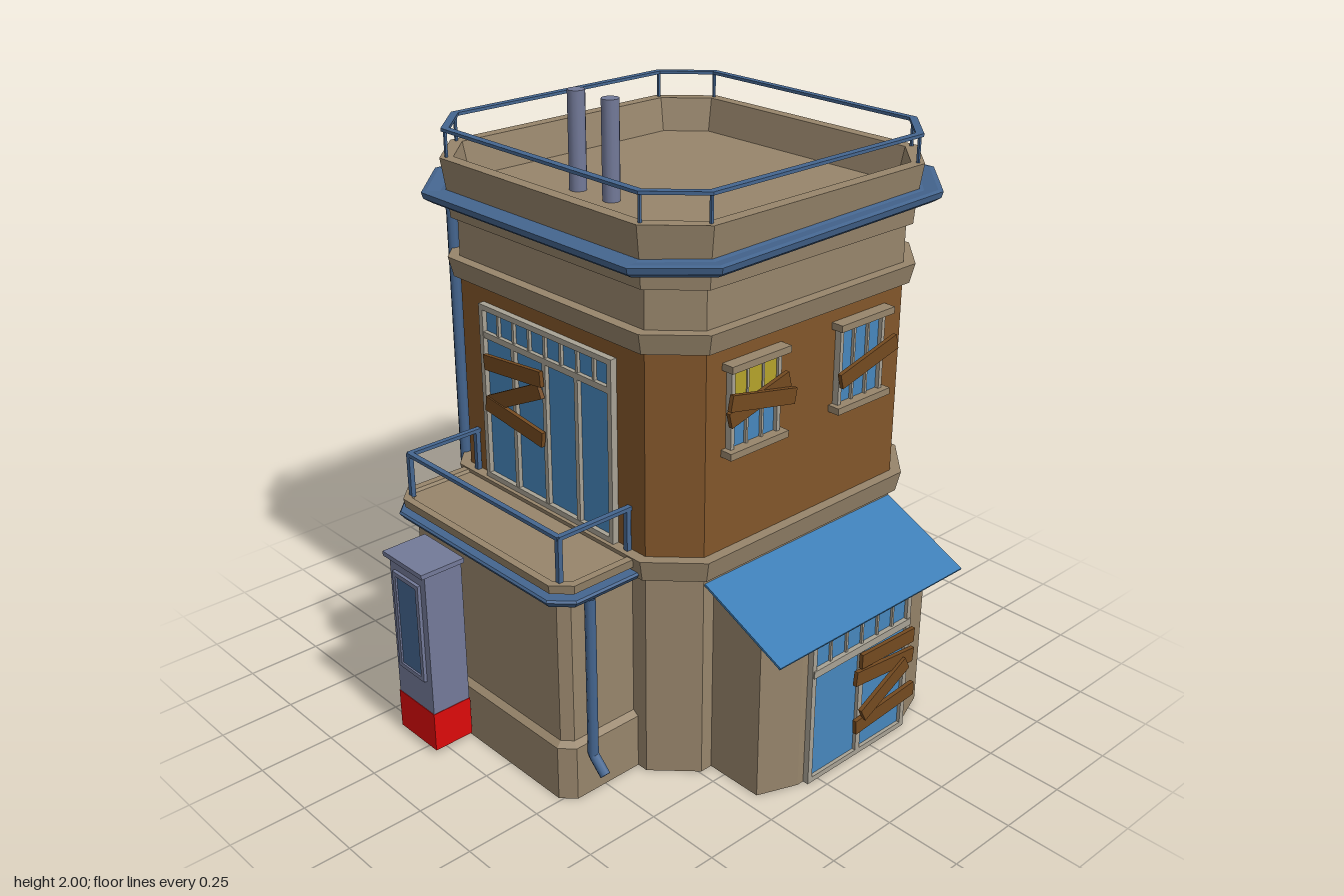
import * as THREE from 'three';

const mat = (name, color) => new THREE.MeshStandardMaterial({ name, color, side: THREE.DoubleSide });
const M = {
  stone: mat('tan stone', 0x97856b),
  wall: mat('brown wall', 0x82562a),
  wood: mat('dark wood', 0x744a20),
  glass: mat('blue glass', 0x4787bd),
  awning: mat('awning blue', 0x3b7db5),
  steel: mat('pipe blue', 0x456690),
  grey: mat('grey metal', 0x737a99),
  red: mat('red', 0xdc0a0a),
  blind: mat('yellow blind', 0xb5a32b),
  frame: mat('light frame', 0xa8a294),
};

function add(parent, name, geometry, material) {
  const m = new THREE.Mesh(geometry, material);
  m.name = name;
  parent.add(m);
  return m;
}

function box(parent, name, material, w, h, d, x, y, z, rz = 0) {
  const m = add(parent, name, new THREE.BoxGeometry(w, h, d), material);
  m.position.set(x, y, z);
  m.rotation.z = rz;
  return m;
}

// Flat-shaded skin over closed loops of points, optionally capped on the last loop
function loft(loops, cap = false) {
  const pos = [];
  const tri = (...pts) => pts.forEach((p) => pos.push(...p));
  for (let k = 0; k + 1 < loops.length; k++) {
    const a = loops[k], b = loops[k + 1], n = a.length;
    for (let i = 0; i < n; i++) {
      const j = (i + 1) % n;
      tri(a[i], a[j], b[j]);
      tri(a[i], b[j], b[i]);
    }
  }
  const t = loops[loops.length - 1];
  if (cap) for (let i = 1; i + 1 < t.length; i++) tri(t[0], t[i], t[i + 1]);
  const g = new THREE.BufferGeometry();
  g.setAttribute('position', new THREE.Float32BufferAttribute(pos, 3));
  g.computeVertexNormals();
  return g;
}

// Rectangle with cut corners, grown outward by o
function plan({ x0, x1, z0, z1, c }, o, y, tilt = () => 0) {
  const a = x0 - o, b = x1 + o, d = z0 - o, e = z1 + o, k = c + o * 0.586;
  return [[a + k, e], [b - k, e], [b, e - k], [b, d + k], [b - k, d], [a + k, d], [a, d + k], [a, e - k]]
    .map(([x, z]) => [x, y + tilt(x, z), z]);
}
const shell = (base, profile, cap, tilt) => loft(profile.map(([o, y]) => plan(base, o, y, tilt)), cap);

const MAIN = { x0: -0.364, x1: 0.723, z0: -0.657, z1: 0.44, c: 0.122 };
const ANNEX = { x0: -0.633, x1: -0.3, z0: -0.49, z1: 0.26, c: 0.03 };

function pipe(parent, name, pts, r) {
  const path = new THREE.CurvePath();
  const v = pts.map((p) => new THREE.Vector3(...p));
  for (let i = 0; i + 1 < v.length; i++) path.add(new THREE.LineCurve3(v[i], v[i + 1]));
  add(parent, name, new THREE.TubeGeometry(path, 48, r, 8), M.steel);
}

// Group whose +z points out of a wall
function facade(parent, name, x, z, ry) {
  const g = new THREE.Group();
  g.name = name;
  g.position.set(x, 0, z);
  g.rotation.y = ry;
  parent.add(g);
  return g;
}

const plank = (f, x, y, len, rz, z = 0.035, w = 0.05) => box(f, 'plank', M.wood, len, w, 0.014, x, y, z, rz);

function frameRect(f, x0, x1, y0, y1, t, d) {
  const cx = (x0 + x1) / 2, cy = (y0 + y1) / 2;
  for (const x of [x0 + t / 2, x1 - t / 2]) box(f, 'frameSide', M.frame, t, y1 - y0, d, x, cy, d / 2);
  for (const y of [y0 + t / 2, y1 - t / 2]) box(f, 'frameRail', M.frame, x1 - x0, t, d, cx, y, d / 2);
}

// Vertical bars dividing x0..x1 into n panes
function bars(f, x0, x1, y0, y1, n, t, d) {
  for (let i = 1; i < n; i++) {
    box(f, 'mullion', M.frame, t, y1 - y0, d, x0 + ((x1 - x0) * i) / n, (y0 + y1) / 2, d / 2);
  }
}

function sashWindow(f, cx, y0, y1, w, panes, blind = 0) {
  const h = y1 - y0;
  box(f, 'windowGlass', M.glass, w, h, 0.008, cx, (y0 + y1) / 2, 0.004);
  if (blind) box(f, 'blind', M.blind, w - 0.01, blind, 0.006, cx, y1 - blind / 2, 0.011);
  bars(f, cx - w / 2, cx + w / 2, y0, y1, panes, 0.008, 0.018);
  for (const s of [-1, 1]) box(f, 'windowJamb', M.frame, 0.014, h, 0.022, cx + s * w / 2, (y0 + y1) / 2, 0.011);
  for (const y of [y0, y1]) box(f, 'sillOrLintel', M.stone, w + 0.05, 0.022, 0.042, cx, y, 0.021);
}

export function createModel() {
  const root = new THREE.Group();
  root.name = 'cornerBuilding';

  // Main tower
  add(root, 'groundFloor', shell(MAIN, [[0, 0], [0, 0.7], [0.02, 0.7], [0.035, 0.77], [0, 0.77]]), M.stone);
  add(root, 'upperFloor', shell(MAIN, [[0, 0.77], [0, 1.42]]), M.wall);
  add(root, 'corniceAndRoof', shell(MAIN, [[0, 1.42], [0.02, 1.42], [0.035, 1.485], [0, 1.485], [0, 1.61],
    [0.02, 1.61], [0.025, 1.68], [0.042, 1.8], [0.002, 1.8], [-0.02, 1.69]], true), M.stone);
  const tilt = (x) => -0.025 * (0.8 - x) / 1.2;
  add(root, 'gutter', shell(MAIN, [[0.03, 1.69], [0.07, 1.688], [0.095, 1.705], [0.1, 1.725], [0.085, 1.728],
    [0.045, 1.722], [0.03, 1.725], [0.03, 1.69]], false, tilt), M.steel);
  add(root, 'roofRail', shell(MAIN, [[0.01, 1.88], [0.034, 1.88], [0.034, 1.89], [0.01, 1.89], [0.01, 1.88]]), M.steel);
  for (const [x, , z] of plan(MAIN, 0.022, 0)) box(root, 'roofRailPost', M.steel, 0.008, 0.085, 0.008, x, 1.84, z);
  for (const z of [-0.3, -0.145]) {
    add(root, 'chimneyPipe', new THREE.CylinderGeometry(0.028, 0.028, 0.31, 12), M.grey).position.set(-0.075, 1.845, z);
  }
  pipe(root, 'rearDownpipe', [[-0.36, 1.69, -0.65], [-0.325, 1.62, -0.62], [-0.325, 0.24, -0.62], [-0.42, 0.17, -0.695]], 0.018);

  // Side annex with terrace
  add(root, 'annexWalls', shell(ANNEX, [[0.02, 0], [0.02, 0.185], [0, 0.2], [0, 0.73]]), M.stone);
  add(root, 'annexRoof', shell(ANNEX, [[0, 0.73], [0.035, 0.735], [0.04, 0.765], [0.015, 0.765], [0.01, 0.755]], true), M.stone);
  add(root, 'annexGutter', shell(ANNEX, [[0, 0.695], [0.04, 0.695], [0.055, 0.715], [0.05, 0.722], [0, 0.722]]), M.steel);
  for (const z of [-0.48, 0.252]) {
    box(root, 'terraceRail', M.steel, 0.275, 0.012, 0.018, -0.5, 0.908, z);
    for (const x of [-0.635, -0.375]) box(root, 'terracePost', M.steel, 0.016, 0.15, 0.016, x, 0.835, z);
  }
  box(root, 'terraceRail', M.steel, 0.018, 0.012, 0.74, -0.635, 0.908, -0.114);
  pipe(root, 'annexDownpipe', [[-0.56, 0.7, 0.295], [-0.56, 0.15, 0.295], [-0.56, 0.1, 0.35]], 0.017);

  // Metal cabinet beside the annex
  const cab = new THREE.Group();
  cab.name = 'cabinet';
  root.add(cab);
  box(cab, 'cabinetBase', M.red, 0.14, 0.135, 0.19, -0.733, 0.0875, -0.285);
  box(cab, 'cabinetBody', M.grey, 0.136, 0.5, 0.186, -0.733, 0.405, -0.285);
  box(cab, 'cabinetCap', M.grey, 0.158, 0.016, 0.206, -0.739, 0.662, -0.285);
  for (const s of [-1, 1]) {
    box(cab, 'cabinetFrameSide', M.grey, 0.012, 0.34, 0.015, -0.806, 0.44, -0.285 + s * 0.06);
    box(cab, 'cabinetFrameRail', M.grey, 0.012, 0.015, 0.135, -0.806, 0.44 + s * 0.165, -0.285);
  }
  box(cab, 'cabinetPanel', M.steel, 0.006, 0.32, 0.11, -0.803, 0.44, -0.285);

  // Entrance porch, its walls cut along the awning slope
  const plot = [[-0.2, 0.43], [-0.2, 0.64], [-0.07, 0.69], [0.43, 0.69], [0.56, 0.64], [0.56, 0.43]];
  const slope = (z) => 0.668 - (z - 0.44) * 0.46;
  add(root, 'porchWalls', loft([plot.map(([x, z]) => [x, 0, z]), plot.map(([x, z]) => [x, slope(z), z])]), M.stone);
  const awning = box(root, 'awning', M.awning, 0.838, 0.008, 0.345, 0.18, 0.605, 0.597);
  awning.rotation.x = Math.atan(0.46);

  const porch = facade(root, 'entrance', 0, 0.69, 0);
  box(porch, 'entranceGlass', M.glass, 0.43, 0.48, 0.008, 0.185, 0.25, 0.004);
  frameRect(porch, -0.045, 0.412, 0, 0.505, 0.018, 0.02);
  box(porch, 'transomBar', M.frame, 0.45, 0.025, 0.024, 0.184, 0.4, 0.012);
  bars(porch, -0.03, 0.4, 0.4, 0.5, 6, 0.008, 0.016);
  bars(porch, -0.03, 0.4, 0.01, 0.4, 2, 0.02, 0.02);
  plank(porch, 0.285, 0.362, 0.25, -0.03);
  plank(porch, 0.275, 0.298, 0.275, -0.1);
  plank(porch, 0.27, 0.222, 0.23, 0.48, 0.045);
  plank(porch, 0.287, 0.138, 0.28, 0.08);

  // Front windows
  const front = facade(root, 'frontWindows', 0, 0.44, 0);
  sashWindow(front, -0.06, 1.09, 1.36, 0.19, 3, 0.14);
  sashWindow(front, 0.4, 1.09, 1.36, 0.19, 3);
  plank(front, -0.06, 1.24, 0.27, -0.2, 0.048);
  plank(front, -0.06, 1.235, 0.25, 0.25, 0.033);
  plank(front, 0.405, 1.225, 0.26, 0.25, 0.045);

  // Rear windows, door and lamp
  const rear = facade(root, 'rearWall', 0, -0.657, Math.PI);
  sashWindow(rear, -0.41, 1.09, 1.36, 0.19, 3, 0.15);
  sashWindow(rear, 0.05, 1.09, 1.36, 0.19, 3);
  plank(rear, 0.05, 1.215, 0.25, 0.02, 0.045);
  box(rear, 'rearDoor', M.wood, 0.2, 0.48, 0.01, -0.11, 0.24, 0.005);
  for (const s of [-1, 1]) box(rear, 'doorJamb', M.stone, 0.022, 0.5, 0.022, -0.11 + s * 0.111, 0.25, 0.011);
  box(rear, 'doorHead', M.stone, 0.244, 0.022, 0.022, -0.11, 0.49, 0.011);
  box(rear, 'doorPeephole', M.glass, 0.034, 0.034, 0.006, -0.11, 0.36, 0.013, Math.PI / 4);
  const lamp = add(rear, 'doorLamp', new THREE.CapsuleGeometry(0.022, 0.07, 4, 10), M.red);
  lamp.position.set(-0.11, 0.615, 0.012);
  lamp.rotation.z = Math.PI / 2;

  // Right wall: wide window with blinds and a small window below
  const right = facade(root, 'rightWall', 0.723, 0, Math.PI / 2);
  box(right, 'wideGlass', M.glass, 0.55, 0.37, 0.006, 0.114, 1.175, 0.003);
  frameRect(right, -0.167, 0.395, 0.985, 1.365, 0.016, 0.022);
  for (const [x0, x1, y0] of [[-0.15, -0.07, 1.11], [-0.07, 0.11, 1.11], [0.115, 0.293, 1.065], [0.3, 0.38, 1.11]]) {
    box(right, 'blind', M.blind, x1 - x0, 1.35 - y0, 0.006, (x0 + x1) / 2, (1.35 + y0) / 2, 0.009);
  }
  for (const x of [-0.07, 0.112, 0.297]) box(right, 'mullion', M.frame, 0.01, 0.37, 0.018, x, 1.175, 0.009);
  plank(right, -0.025, 1.247, 0.3, -0.03, 0.03, 0.058);
  plank(right, -0.03, 1.13, 0.3, 0.08, 0.03, 0.058);
  sashWindow(right, 0.11, 0.36, 0.64, 0.18, 2);

  // Left wall: glazed terrace front
  const left = facade(root, 'leftWall', -0.364, 0, -Math.PI / 2);
  box(left, 'terraceGlass', M.glass, 0.6, 0.59, 0.006, -0.11, 1.065, 0.003);
  frameRect(left, -0.42, 0.2, 0.77, 1.365, 0.018, 0.022);
  box(left, 'transomBar', M.frame, 0.6, 0.02, 0.02, -0.11, 1.265, 0.01);
  bars(left, -0.41, 0.19, 1.265, 1.35, 8, 0.01, 0.016);
  bars(left, -0.41, 0.19, 0.77, 1.265, 4, 0.016, 0.02);
  plank(left, -0.24, 1.2, 0.28, 0.1);
  plank(left, -0.24, 1.11, 0.28, 0.45, 0.03);
  plank(left, -0.24, 1.03, 0.28, -0.12);

  return root;
}
